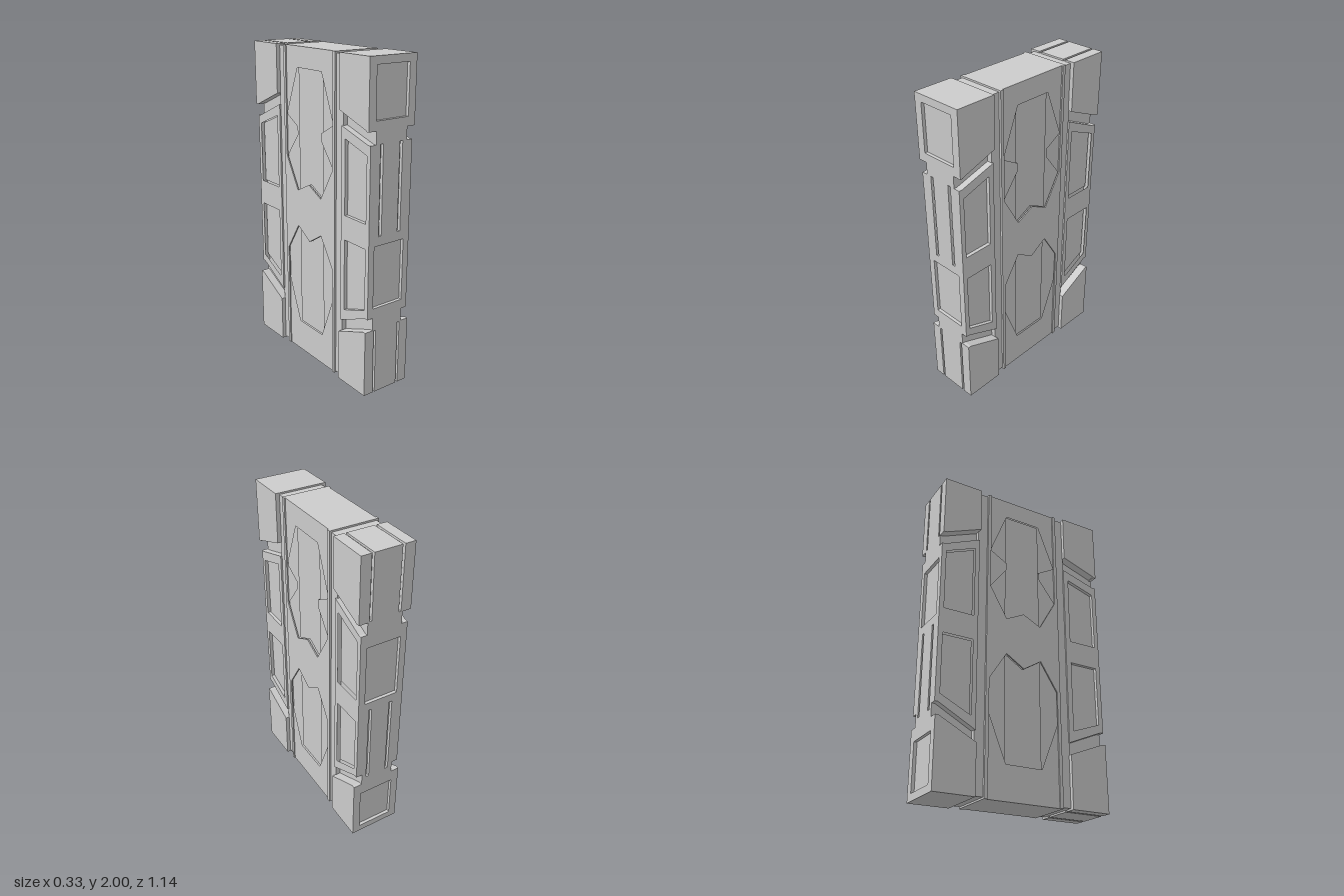
import * as THREE from 'three';

const material = new THREE.MeshStandardMaterial({ color: 0xcccccc, flatShading: true });

function add(group, name, geometry) {
  const mesh = new THREE.Mesh(geometry, material);
  mesh.name = name;
  group.add(mesh);
  return mesh;
}

function box(group, name, x0, x1, y0, y1, z0, z1) {
  const mesh = add(group, name, new THREE.BoxGeometry(x1 - x0, y1 - y0, z1 - z0));
  mesh.position.set((x0 + x1) / 2, (y0 + y1) / 2, (z0 + z1) / 2);
}

function prism(outline, holes, depth) {
  const toVectors = (pts) => pts.map(([a, b]) => new THREE.Vector2(a, b));
  const shape = new THREE.Shape(toVectors(outline));
  holes.forEach((h) => shape.holes.push(new THREE.Path(toVectors(h))));
  return new THREE.ExtrudeGeometry(shape, { depth, bevelEnabled: false });
}

// Plate outlined in [z, y], from x0 to x1, repeated on both broad sides
function sidePlates(group, name, outline, holes, x0, x1) {
  const flip = (pts) => pts.map(([z, y]) => [-z, y]);
  const geometry = prism(flip(outline), holes.map(flip), x1 - x0).rotateY(Math.PI / 2);
  add(group, name + 'Left', geometry).position.x = x0;
  add(group, name + 'Right', geometry).position.x = -x1;
}

const rect = (a0, a1, b0, b1) => [[a0, b0], [a1, b0], [a1, b1], [a0, b1]];

// Mirror half of an outline, listed along the +z side, across z = 0
const symmetric = (half) => [
  ...half,
  ...half.filter(([z]) => z !== 0).reverse().map(([z, y]) => [-z, y]),
];

const END = 0.57, INNER = 0.315, SKIN = 0.02;
const NECK = 0.11, MID = 0.15, BLOCK = 0.165;

// Bottom edge with two narrow channels, from left to right
function channelled(halfWidth, depth, yTop) {
  return [
    [-halfWidth, 0], [-0.1, 0], [-0.1, yTop], [-0.085, yTop], [-0.085, 0],
    [0.085, 0], [0.085, yTop], [0.1, yTop], [0.1, 0], [halfWidth, 0],
  ];
}

// Column core and its narrow face, with panels, slots and channels
function endFace(name, [n0, n1, n2, n3]) {
  const group = new THREE.Group();
  group.name = name;
  const core = [...channelled(NECK, 0.01, 0.012), [NECK, 2], [-NECK, 2]];
  add(group, 'columnCore', prism(core, [], END - SKIN - INNER)).position.z = INNER;
  const right = [
    [BLOCK, n0], [NECK, n0], [NECK, n1], [MID, n1],
    [MID, n2], [NECK, n2], [NECK, n3], [BLOCK, n3], [BLOCK, 2],
  ];
  const left = [...right].reverse().map(([x, y]) => [-x, y]);
  const holes = [
    rect(-0.115, 0.115, 1.66, 1.955),
    rect(-0.109, 0.109, 0.56, 0.945),
    rect(-0.08, -0.06, 1.0, 1.53),
    rect(0.06, 0.08, 1.0, 1.53),
  ];
  const outline = [...channelled(BLOCK, 0.01, n0 - 0.005), ...right, ...left];
  add(group, 'narrowFace', prism(outline, holes, SKIN)).position.z = END - SKIN;
  // Floor behind the wider top panel
  box(group, 'panelFloor', -0.13, 0.13, 1.64, 1.98, END - SKIN - 0.03, END - SKIN);
  return group;
}

// Broad-side plates of one column: blocks, middle plate, recessed panels
function columnSides(group, name, sign, cuts, panels) {
  const e = sign * (END - SKIN), i = sign * INNER;
  const [a, b, c, d] = cuts; // each cut is [y at the outer end, y at the inner end]
  sidePlates(group, name + 'LowerBlock', [[e, 0], [i, 0], [i, a[1]], [e, a[0]]], [], NECK, BLOCK);
  sidePlates(group, name + 'MiddlePlate', [[e, b[0]], [i, b[1]], [i, c[1]], [e, c[0]]], panels, NECK, MID);
  sidePlates(group, name + 'UpperBlock', [[e, d[0]], [i, d[1]], [i, 2], [e, 2]], [], NECK, BLOCK);
  panels.forEach((p) => sidePlates(group, name + 'PanelFloor', p, [], NECK, 0.128));
}

export function createModel() {
  const model = new THREE.Group();
  model.name = 'wallPanel';

  // Two end columns, the back one turned upside down
  model.add(endFace('frontColumn', [0.42, 0.5, 1.53, 1.605]));
  const back = endFace('backColumn', [0.4, 0.475, 1.5, 1.58]);
  back.rotation.x = Math.PI;
  back.position.y = 2;
  model.add(back);

  columnSides(model, 'front', 1,
    [[0.42, 0.325], [0.5, 0.4], [1.53, 1.6], [1.61, 1.69]],
    [
      [[0.54, 1.08], [0.35, 1.08], [0.35, 1.53], [0.54, 1.47]],
      [[0.54, 0.55], [0.35, 0.48], [0.35, 0.93], [0.54, 0.93]],
    ]);
  columnSides(model, 'back', -1,
    [[0.42, 0.3], [0.5, 0.375], [1.525, 1.63], [1.6, 1.7]],
    [
      [[-0.54, 1.085], [-0.345, 1.085], [-0.345, 1.555], [-0.54, 1.475]],
      [[-0.54, 0.55], [-0.345, 0.455], [-0.345, 0.925], [-0.54, 0.925]],
    ]);

  // Narrow recessed joints between the centre and the columns
  for (const s of [-1, 1]) {
    const z = [s * 0.25, s * 0.32].sort((p, q) => p - q);
    box(model, 'joint', -0.14, 0.14, 0.01, 1.99, z[0], z[1]);
  }

  // Centre slab, built up in layers on both broad sides
  const W = 0.257;
  box(model, 'centreSlab', -0.12, 0.12, 0, 2, -W, W);
  const upperChannel = symmetric([[0, 1.18], [0.12, 1.12], [0.12, 1.875]]);
  const lowerChannel = symmetric([[0.12, 0.21], [0.12, 0.885], [0, 0.81]]);
  sidePlates(model, 'channelLayer', rect(-W, W, 0, 2), [upperChannel, lowerChannel], 0.12, 0.132);

  const upperWings = symmetric([
    [0, 1.18], [0.12, 1.12], [0.234, 1.32], [0.12, 1.47],
    [0.12, 1.52], [0.234, 1.585], [0.12, 1.875],
  ]);
  const lowerWings = symmetric([
    [0.12, 0.21], [0.234, 0.5], [0.234, 0.705], [0.12, 0.885], [0, 0.81],
  ]);
  sidePlates(model, 'wingLayer', rect(-W, W, 0, 2), [upperWings, lowerWings], 0.132, 0.145);

  // Raised edge strips joined by the middle plate
  const raised = symmetric([
    [0, 0.81], [0.12, 0.885], [0.235, 0.705], [0.235, 0], [W, 0],
    [W, 2], [0.235, 2], [0.235, 1.32], [0.12, 1.12], [0, 1.18],
  ]);
  sidePlates(model, 'raisedFrame', raised, [], 0.145, 0.153);

  return model;
}
